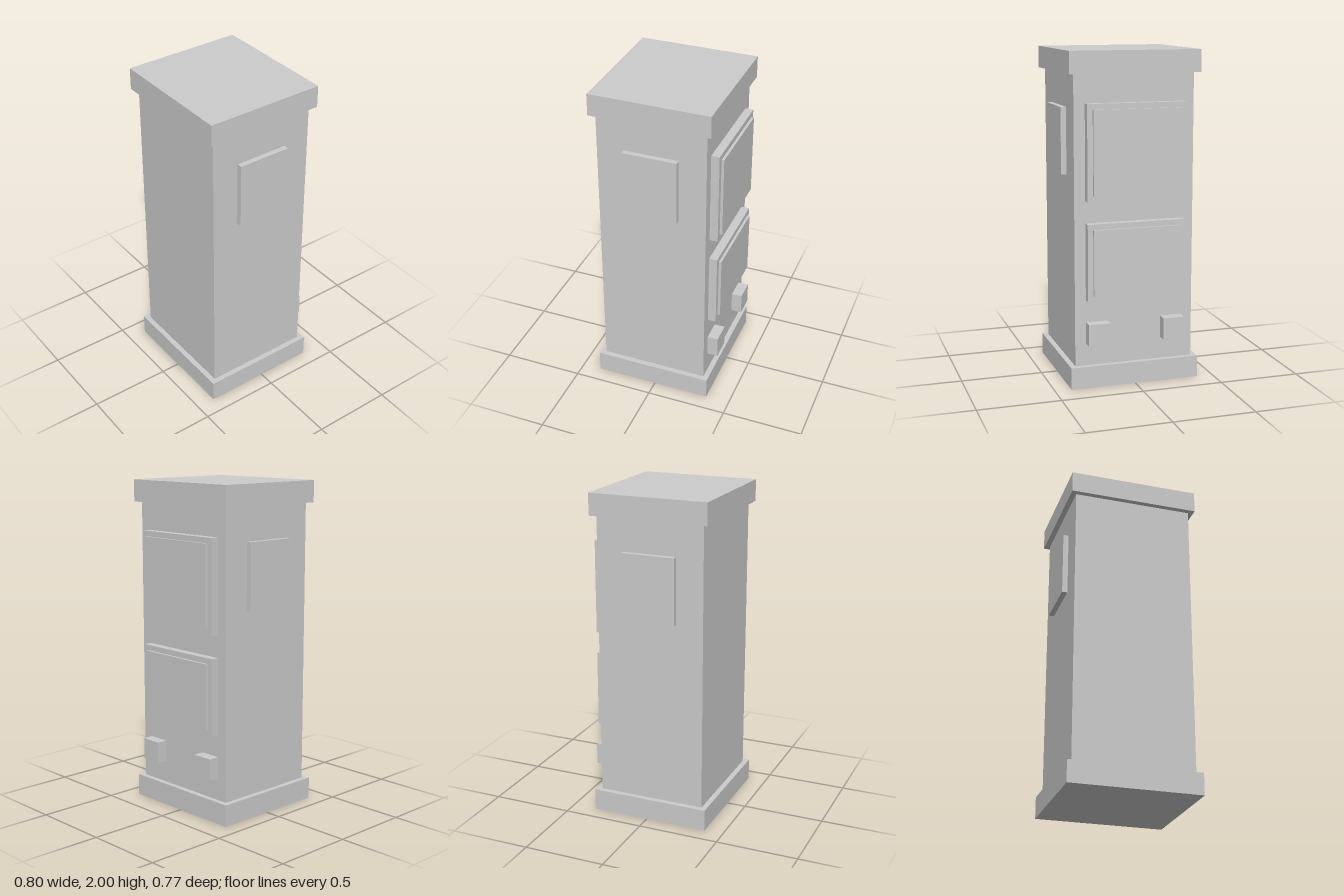
import * as THREE from 'three';

export function createModel() {
  const model = new THREE.Group();
  const material = new THREE.MeshStandardMaterial({ color: 0xcccccc, flatShading: true });

  // Box given by its extents along each axis
  function block(name, [x0, x1], [y0, y1], [z0, z1]) {
    const mesh = new THREE.Mesh(new THREE.BoxGeometry(x1 - x0, y1 - y0, z1 - z0), material);
    mesh.position.set((x0 + x1) / 2, (y0 + y1) / 2, (z0 + z1) / 2);
    mesh.name = name;
    model.add(mesh);
  }

  const backZ = -0.317;

  // Pillar with overhanging base and cap
  block('base', [-0.4, 0.4], [0, 0.133], [-0.35, 0.383]);
  block('body', [-0.367, 0.367], [0.133, 1.867], [backZ, 0.35]);
  block('cap', [-0.4, 0.4], [1.867, 2], [-0.35, 0.383]);

  // Two framed panels on the back
  for (const [name, y0, y1] of [['upper', 1.133, 1.7], ['lower', 0.537, 1]]) {
    block(name + 'Frame', [-0.3, 0.3], [y0, y1], [-0.367, backZ]);
    block(name + 'Panel', [-0.267, 0.267], [y0 + 0.033, y1 - 0.033], [-0.383, -0.367]);
  }

  // Mirrored side plates and small back blocks
  for (const [side, s] of [['left', 1], ['right', -1]]) {
    const mirror = (a, b) => (s > 0 ? [a, b] : [-b, -a]);
    block(side + 'SidePlate', mirror(0.367, 0.4), [1.267, 1.667], [-0.15, 0.183]);
    block(side + 'BackBlock', mirror(0.167, 0.3), [0.267, 0.4], [-0.383, backZ]);
  }

  return model;
}
